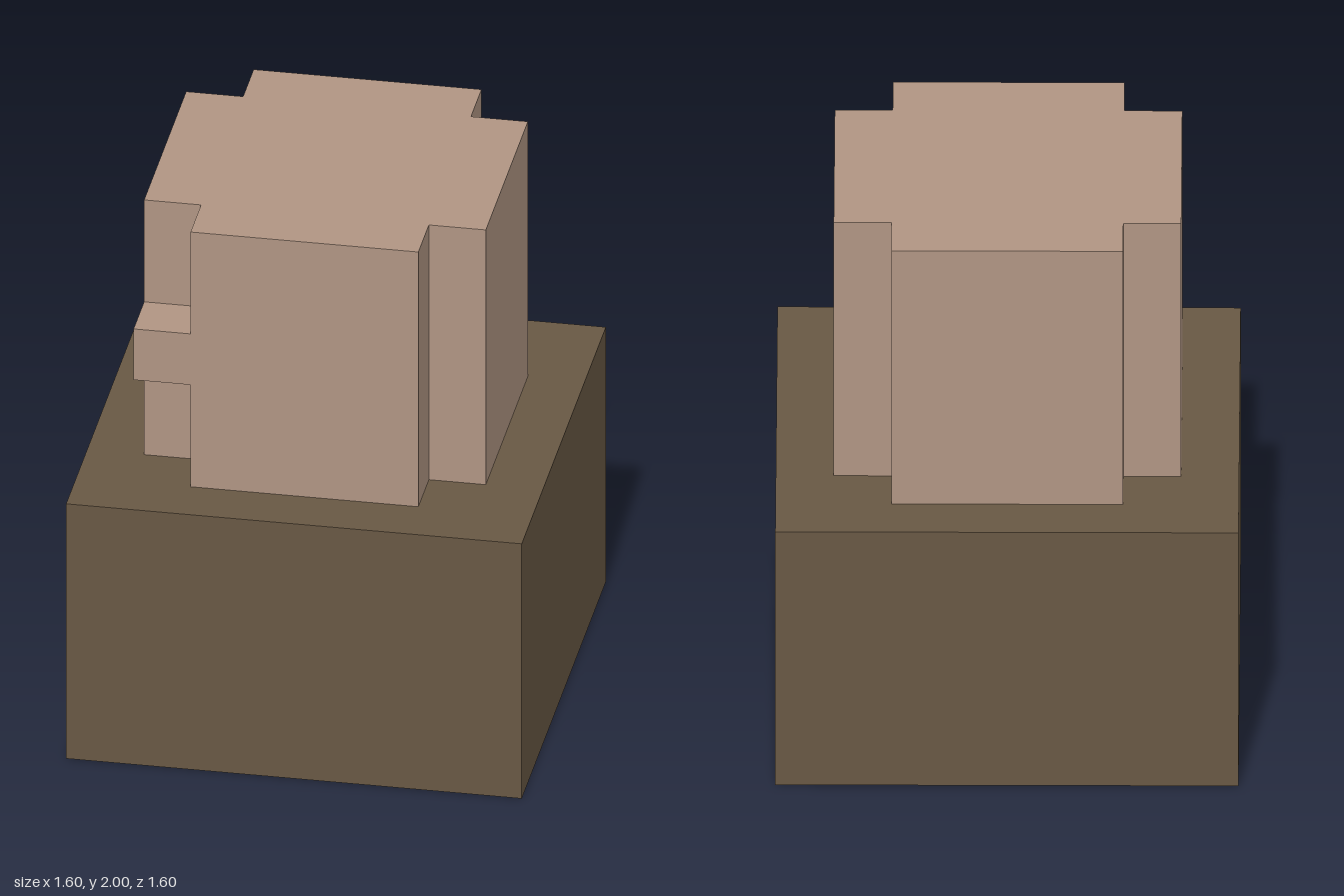
import * as THREE from 'three';

export function createModel() {
  const group = new THREE.Group();
  const darkBrown = new THREE.MeshStandardMaterial({ color: 0x685844 });
  darkBrown.name = 'dark brown';
  const paleTan = new THREE.MeshStandardMaterial({ color: 0xb09583 });
  paleTan.name = 'pale tan';

  const add = (name, geometry, material, x, y, z) => {
    const mesh = new THREE.Mesh(geometry, material);
    mesh.name = name;
    mesh.position.set(x, y, z);
    group.add(mesh);
    return mesh;
  };

  // Square block at the bottom
  add('base', new THREE.BoxGeometry(1.6, 1, 1.6), darkBrown, 0, 0.5, 0);

  // Upright block with a square notch cut from each corner
  const outer = 0.6, inner = 0.4;
  const points = [];
  for (let i = 0; i < 4; i++) {
    for (const [x, y] of [[outer, -inner], [outer, inner], [inner, inner]]) {
      points.push(new THREE.Vector2(x, y).rotateAround(new THREE.Vector2(), i * Math.PI / 2));
    }
  }
  const bodyGeometry = new THREE.ExtrudeGeometry(new THREE.Shape(points), { depth: 1, bevelEnabled: false });
  bodyGeometry.rotateX(-Math.PI / 2);
  add('body', bodyGeometry, paleTan, 0, 1, 0);

  // Small cube filling part of one front notch
  add('cornerKnob', new THREE.BoxGeometry(0.2, 0.2, 0.2), paleTan, -0.5, 1.5, 0.5);

  return group;
}
